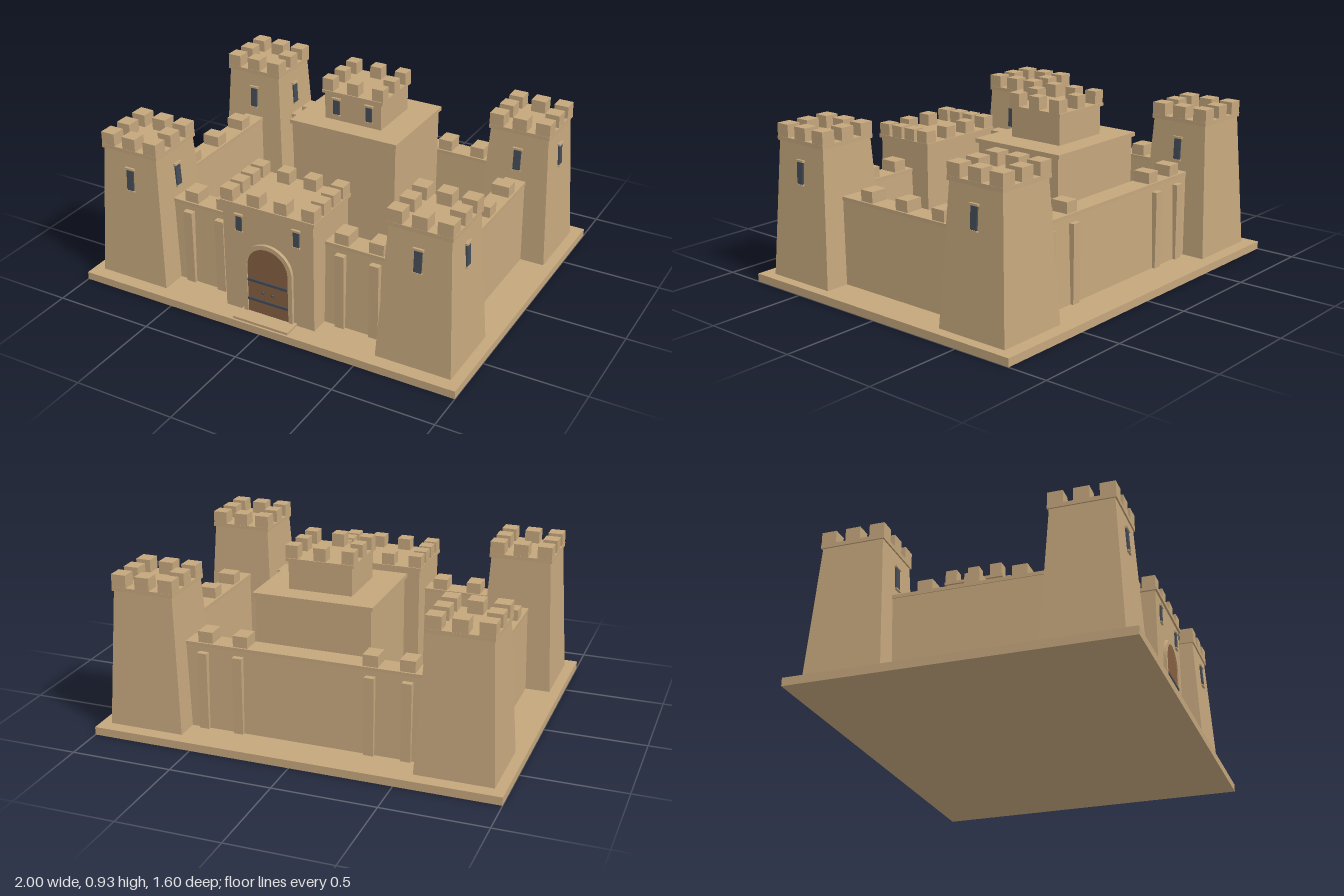
import * as THREE from 'three';

const mat = (name, color) => {
  const m = new THREE.MeshStandardMaterial({ color });
  m.name = name;
  return m;
};

export function createModel() {
  const sand = mat('sandstone', 0xc4a67c);
  const wood = mat('door wood', 0x855f42);
  const iron = mat('iron', 0x454b55);
  const dark = mat('window dark', 0x444c58);
  const GROUND = 0.04;

  const group = (name, parent) => {
    const g = new THREE.Group();
    g.name = name;
    parent.add(g);
    return g;
  };
  const add = (parent, name, geo, material, x = 0, y = 0, z = 0) => {
    const m = new THREE.Mesh(geo, material);
    m.name = name;
    m.position.set(x, y, z);
    parent.add(m);
    return m;
  };
  // box standing on y
  const block = (parent, name, w, h, d, x, y, z, material = sand) =>
    add(parent, name, new THREE.BoxGeometry(w, h, d), material, x, y + h / 2, z);

  // box whose upper corners are drawn in
  const tapered = (parent, name, w, d, topW, topD, h, y) => {
    const geo = new THREE.BoxGeometry(w, h, d);
    const p = geo.attributes.position;
    for (let i = 0; i < p.count; i++) {
      if (p.getY(i) > 0) p.setXYZ(i, Math.sign(p.getX(i)) * topW / 2, h / 2, Math.sign(p.getZ(i)) * topD / 2);
    }
    geo.computeVertexNormals();
    return add(parent, name, geo, sand, 0, y + h / 2, 0);
  };

  // ring of n x n merlons around the rim of a roof
  const merlonRing = (parent, n, spanX, spanZ, size, h, y) => {
    for (let i = 0; i < n; i++) for (let j = 0; j < n; j++) {
      if (i % (n - 1) && j % (n - 1)) continue;
      block(parent, 'merlon', size, h, size,
        (i / (n - 1) - 0.5) * spanX, y, (j / (n - 1) - 0.5) * spanZ);
    }
  };

  // slit window facing +z, centred on its own origin
  const slit = (parent, w, h) => {
    const g = group('window', parent);
    add(g, 'windowPane', new THREE.BoxGeometry(w, h, 0.009), dark, 0, 0, 0.003);
    add(g, 'lintel', new THREE.BoxGeometry(w + 0.014, 0.01, 0.02), sand, 0, h / 2 + 0.004, 0.003);
    add(g, 'sill', new THREE.BoxGeometry(w + 0.008, 0.007, 0.014), sand, 0, -h / 2 - 0.003, 0.003);
    return g;
  };

  const castle = new THREE.Group();
  castle.name = 'castle';
  block(castle, 'base', 2, GROUND, 1.6, 0, 0, 0);

  // corner towers
  const slope = Math.atan(0.0375 / 0.67);
  for (const sx of [-1, 1]) for (const sz of [-1, 1]) {
    const t = group('cornerTower', castle);
    t.position.set(sx * 0.76, 0, sz * 0.545);
    tapered(t, 'towerBody', 0.375, 0.375, 0.3, 0.3, 0.67, GROUND);
    block(t, 'towerCap', 0.315, 0.02, 0.315, 0, 0.71, 0);
    merlonRing(t, 3, 0.24, 0.24, 0.073, 0.062, 0.73);
    for (const turn of [0, Math.PI / 2]) {
      const face = group('towerFace', t);
      face.rotation.y = turn;
      const s = slit(face, 0.037, 0.108);
      s.position.set(0, 0.575, 0.158);
      s.rotation.x = -slope;
    }
  }

  // curtain walls, built along x and turned into place
  const wall = (name, length, capLength, merlons, buttresses) => {
    const g = group(name, castle);
    tapered(g, 'wallBody', length, 0.13, length, 0.1, 0.41, GROUND);
    block(g, 'wallCap', capLength, 0.017, 0.108, 0, 0.45, 0);
    for (const x of merlons) block(g, 'wallMerlon', 0.073, 0.055, 0.09, x, 0.467, 0);
    for (const x of buttresses) block(g, 'buttress', 0.048, 0.385, 0.06, x, GROUND, 0.05);
    return g;
  };
  const alongX = [-0.497, -0.32, 0.32, 0.497];
  const ribs = [-0.503, -0.325, 0.325, 0.503];
  wall('frontWall', 1.2, 1.2, alongX, ribs).position.z = 0.54;
  const back = wall('backWall', 1.2, 1.2, alongX, ribs);
  back.position.z = -0.55;
  back.rotation.y = Math.PI;
  for (const s of [-1, 1]) {
    const side = wall('sideWall', 0.77, 0.78, [-0.225, 0, 0.225], []);
    side.position.x = s * 0.76;
    side.rotation.y = Math.PI / 2;
  }

  // keep with its upper tower
  const keep = group('keep', castle);
  keep.position.z = -0.245;
  block(keep, 'keepBody', 0.57, 0.65, 0.48, 0, GROUND, 0);
  block(keep, 'keepRoof', 0.59, 0.02, 0.505, 0, 0.69, 0);
  block(keep, 'upperBody', 0.312, 0.14, 0.288, 0, 0.71, 0);
  block(keep, 'upperCap', 0.335, 0.015, 0.31, 0, 0.848, 0);
  merlonRing(keep, 3, 0.275, 0.24, 0.06, 0.062, 0.863);
  for (const s of [-1, 1]) slit(keep, 0.033, 0.08).position.set(s * 0.09, 0.782, 0.144);

  // gatehouse
  const gate = group('gatehouse', castle);
  gate.position.z = 0.54;
  block(gate, 'gateBody', 0.48, 0.555, 0.32, 0, GROUND, 0);
  block(gate, 'gateCap', 0.5, 0.017, 0.34, 0, 0.595, 0);
  merlonRing(gate, 4, 0.43, 0.262, 0.066, 0.06, 0.612);
  for (const s of [-1, 1]) slit(gate, 0.03, 0.08).position.set(s * 0.153, 0.508, 0.16);
  block(gate, 'doorStep', 0.295, 0.012, 0.1, 0, GROUND, 0.2);

  // arched door and its surround
  const arch = (path, r) => {
    path.moveTo(-r, GROUND);
    path.lineTo(r, GROUND);
    path.lineTo(r, 0.3);
    path.absarc(0, 0.3, r, 0, Math.PI, false);
    path.lineTo(-r, GROUND);
    return path;
  };
  const extrude = (shape, depth) =>
    new THREE.ExtrudeGeometry(shape, { depth, bevelEnabled: false, curveSegments: 20 });
  const surround = arch(new THREE.Shape(), 0.132);
  surround.holes.push(arch(new THREE.Path(), 0.11));
  add(gate, 'archSurround', extrude(surround, 0.018), sand, 0, 0, 0.158);
  add(gate, 'door', extrude(arch(new THREE.Shape(), 0.11), 0.012), wood, 0, 0, 0.158);
  for (const y of [0.118, 0.221]) block(gate, 'doorBand', 0.216, 0.013, 0.009, 0, y, 0.173, iron);
  for (const s of [-1, 1]) {
    add(gate, 'doorKnob', new THREE.SphereGeometry(0.008, 12, 8), iron, s * 0.026, 0.174, 0.174);
  }
  return castle;
}
